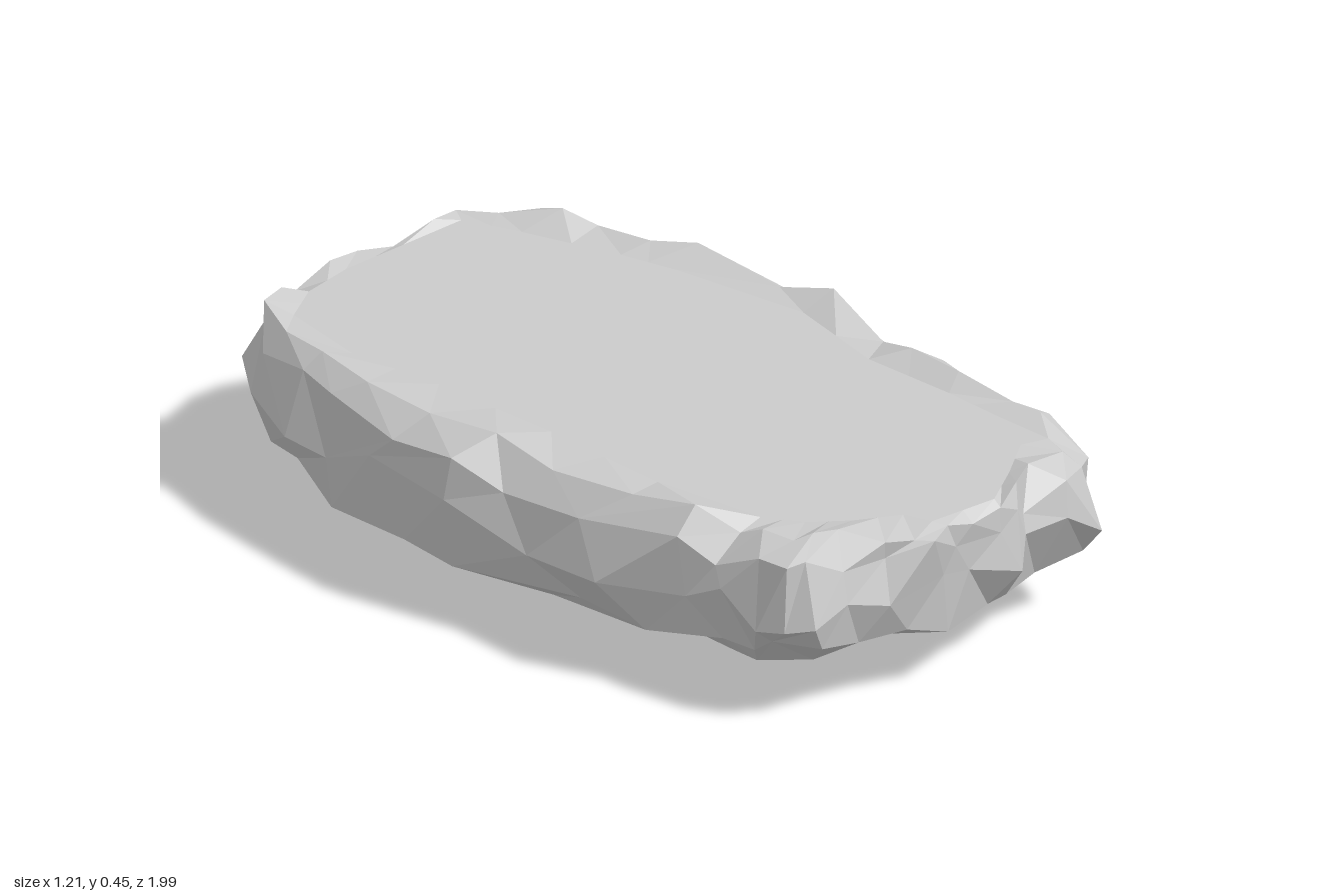
import * as THREE from 'three';

// Paired control loops (x, z), running front -> left -> back -> right
const OUTER = [
  [-0.1, 0.99], [0.08, 0.98], [0.2, 0.99], [0.42, 0.94], [0.49, 0.86], [0.53, 0.6],
  [0.57, 0.3], [0.6, 0], [0.58, -0.4], [0.53, -0.68], [0.48, -0.9], [0.3, -0.96],
  [0.1, -0.98], [-0.1, -0.99], [-0.25, -0.96], [-0.47, -0.91], [-0.53, -0.65], [-0.6, -0.35],
  [-0.61, 0], [-0.59, 0.4], [-0.51, 0.65], [-0.52, 0.82], [-0.46, 0.91], [-0.3, 0.96],
];
const INNER = [
  [-0.1, 0.93], [0.08, 0.95], [0.2, 0.88], [0.32, 0.8], [0.39, 0.66], [0.4, 0.5],
  [0.4, 0.25], [0.47, -0.02], [0.43, -0.38], [0.4, -0.52], [0.33, -0.76], [0.28, -0.9],
  [0.1, -0.905], [-0.08, -0.91], [-0.22, -0.89], [-0.33, -0.83], [-0.38, -0.6], [-0.36, -0.35],
  [-0.36, 0], [-0.38, 0.35], [-0.35, 0.64], [-0.3, 0.73], [-0.22, 0.8], [-0.12, 0.86],
];

let seed = 11;
const jitter = (amount) => {
  seed = (seed * 16807) % 2147483647;
  return (seed / 2147483647 - 0.5) * 2 * amount;
};

// Point on a closed control loop at t
function sample(loop, t) {
  const u = (((t % 1) + 1) % 1) * loop.length;
  const i = Math.floor(u) % loop.length;
  const a = loop[i], b = loop[(i + 1) % loop.length], f = u - Math.floor(u);
  return [a[0] + (b[0] - a[0]) * f, a[1] + (b[1] - a[1]) * f];
}

// Ring of rough points: blend goes from inner to outer loop, then scaled.
// liftX raises the long sides and liftZ the two ends.
function makeRing({ n, blend = 1, scale = 1, y, side = 0, rise = 0, shift = 0, liftX = 0, liftZ = 0 }) {
  return Array.from({ length: n }, (_, i) => {
    const t = (i + shift) / n;
    const tj = t + jitter(side ? 0.3 / n : 0);
    const a = sample(INNER, tj), b = sample(OUTER, tj);
    const s = scale + jitter(side);
    const x = (a[0] + (b[0] - a[0]) * blend) * s;
    const z = (a[1] + (b[1] - a[1]) * blend) * (1 + (s - 1) * 0.85);
    return { t, p: [x, y + liftX * Math.abs(x) + liftZ * z * z + jitter(rise), z] };
  });
}

// Joins two rings, upper then lower, that may differ in point count
function stitch(upper, lower, out) {
  const at = (r, i) => r[i % r.length].p;
  const time = (r, i) => r[i % r.length].t + Math.floor(i / r.length);
  let i = 0, j = 0;
  while (i < upper.length || j < lower.length) {
    const stepLower = i >= upper.length ||
      (j < lower.length && time(lower, j + 1) < time(upper, i + 1));
    if (stepLower) {
      out.push(...at(upper, i), ...at(lower, j), ...at(lower, j + 1));
      j++;
    } else {
      out.push(...at(upper, i), ...at(lower, j), ...at(upper, i + 1));
      i++;
    }
  }
}

export function createModel() {
  const group = new THREE.Group();
  group.name = 'stoneSlab';
  const stone = new THREE.MeshStandardMaterial({ color: 0xcccccc, flatShading: true });

  // Cross-sections from the flat top, over the chipped rim, down to the belly
  const rings = [
    { n: 48, blend: 0, y: 0.423 },
    { n: 42, blend: 0.5, y: 0.408, side: 0.03, rise: 0.026, liftX: 0.06 },
    { n: 40, blend: 0.88, scale: 0.985, y: 0.37, side: 0.035, rise: 0.035, shift: 0.4, liftX: 0.03 },
    { n: 38, scale: 0.98, y: 0.265, side: 0.035, rise: 0.05 },
    { n: 34, scale: 0.93, y: 0.15, side: 0.04, rise: 0.035, shift: 0.4, liftZ: 0.02 },
    { n: 26, scale: 0.78, y: 0.095, side: 0.06, rise: 0.03, liftZ: 0.03 },
    { n: 18, scale: 0.56, y: 0.062, side: 0.07, rise: 0.032, shift: 0.4, liftZ: 0.04 },
    { n: 11, scale: 0.32, y: 0.04, side: 0.06, rise: 0.03, liftZ: 0.04 },
    { n: 5, scale: 0.12, y: 0.035, side: 0.03, rise: 0.025, shift: 0.3 },
  ].map(makeRing);

  // Flat walking surface
  const top = [];
  const edge = rings[0];
  edge.forEach(({ p }, i) => {
    top.push(0, 0.425, 0, ...p, ...edge[(i + 1) % edge.length].p);
  });

  // Rough rim, sides and underside
  const rock = [];
  for (let i = 0; i + 1 < rings.length; i++) stitch(rings[i], rings[i + 1], rock);
  stitch(rings[rings.length - 1], [{ t: 0, p: [0, 0.035, 0] }], rock);

  // Rest the lowest point on the ground
  const floor = new THREE.Box3().setFromArray(rock).min.y;
  for (const [name, positions] of Object.entries({ flatTop: top, roughStone: rock })) {
    const g = new THREE.BufferGeometry();
    g.setAttribute('position', new THREE.Float32BufferAttribute(positions, 3));
    g.translate(0, -floor, 0);
    g.computeVertexNormals();
    const mesh = new THREE.Mesh(g, stone);
    mesh.name = name;
    group.add(mesh);
  }
  return group;
}
